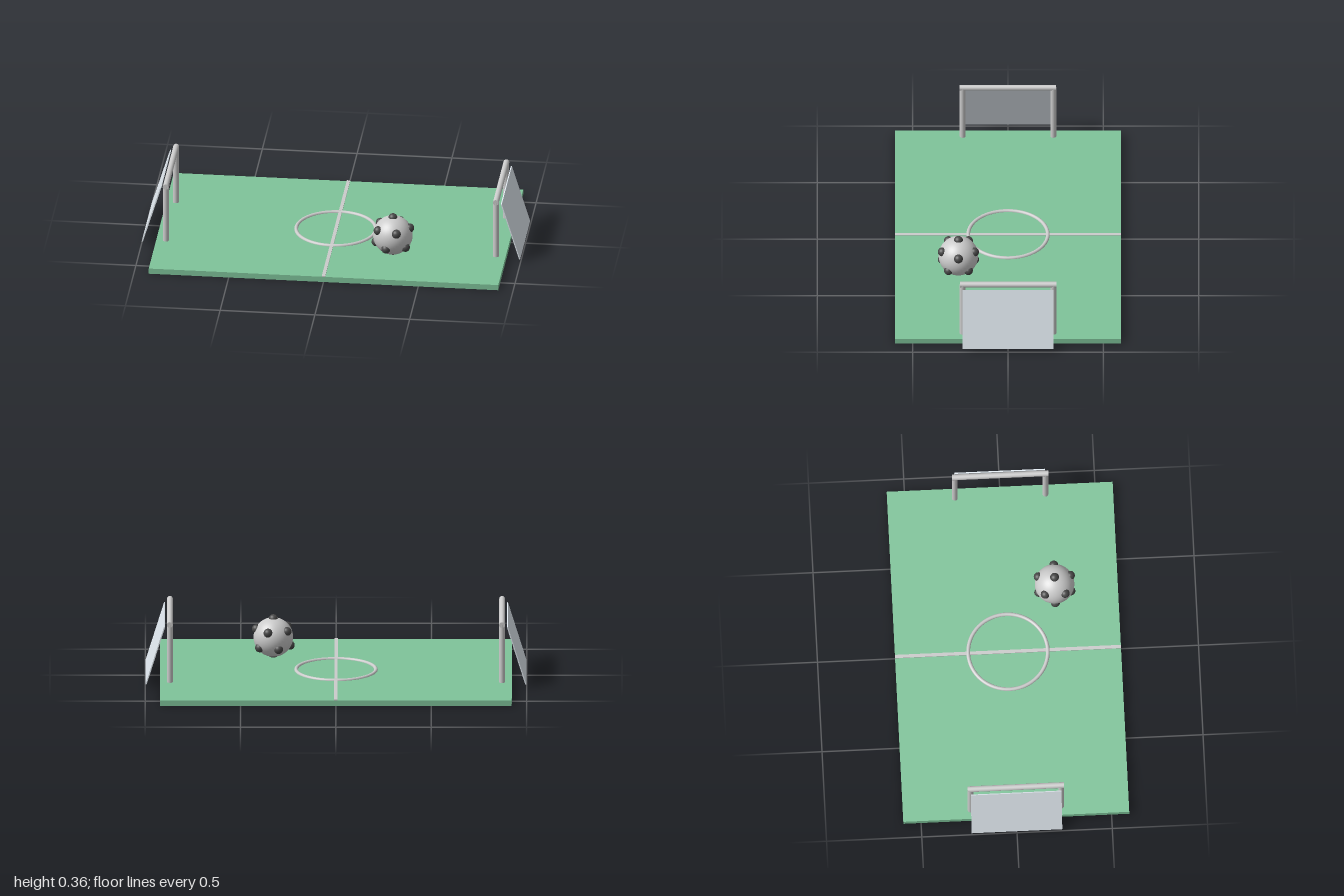
import * as THREE from 'three';

const grey = new THREE.MeshStandardMaterial({ color: 0xcccccc });
const green = new THREE.MeshStandardMaterial({ color: 0x7fc49a });
const dark = new THREE.MeshStandardMaterial({ color: 0x484848 });
const pale = new THREE.MeshStandardMaterial({ color: 0xdfe7ee });

function add(parent, name, geometry, material, x = 0, y = 0, z = 0) {
  const mesh = new THREE.Mesh(geometry, material);
  mesh.name = name;
  mesh.position.set(x, y, z);
  parent.add(mesh);
  return mesh;
}

// Two posts, a crossbar and a sloping net panel; side is +1 or -1
function makeGoal(side) {
  const goal = new THREE.Group();
  goal.name = side > 0 ? 'leftGoal' : 'rightGoal';
  const x = 0.871 * side, r = 0.0155;
  for (const z of [-0.238, 0.238]) {
    add(goal, 'post', new THREE.CylinderGeometry(r, r, 0.343, 24), grey, x, 0.1735, z);
  }
  const bar = add(goal, 'crossbar', new THREE.CylinderGeometry(r, r, 0.506, 24), grey, x, 0.345, 0);
  bar.rotation.x = Math.PI / 2;
  const net = add(goal, 'net', new THREE.BoxGeometry(0.006, 0.328, 0.476), pale, 0.947 * side, 0.174, 0);
  net.rotation.z = 0.3 * side;
  return goal;
}

// Ball with twelve studs placed at the corners of an icosahedron
function makeBall() {
  const ball = new THREE.Group();
  ball.name = 'ball';
  add(ball, 'ballBody', new THREE.SphereGeometry(0.104, 40, 28), grey);
  const directions = [[0, 1, 0], [0, -1, 0]];
  const h = 1 / Math.sqrt(5);
  for (let i = 0; i < 10; i++) {
    const a = i * Math.PI / 5;
    directions.push([2 * h * Math.cos(a), i % 2 ? -h : h, 2 * h * Math.sin(a)]);
  }
  const stud = new THREE.SphereGeometry(0.024, 20, 14);
  for (const d of directions) {
    add(ball, 'ballStud', stud, dark, ...d.map((v) => v * 0.099));
  }
  ball.position.set(0.329, 0.135, 0.26);
  return ball;
}

export function createModel() {
  const model = new THREE.Group();
  model.name = 'footballPitch';

  // Pitch and its raised markings
  add(model, 'pitch', new THREE.BoxGeometry(1.844, 0.03, 1.186), green, 0, 0.015, 0);
  add(model, 'halfwayLine', new THREE.BoxGeometry(0.018, 0.01, 1.186), grey, 0, 0.03, 0);
  const circle = add(model, 'centreCircle', new THREE.TorusGeometry(0.209, 0.01, 12, 64), grey, 0, 0.03, 0);
  circle.rotation.x = Math.PI / 2;

  for (const side of [-1, 1]) model.add(makeGoal(side));
  model.add(makeBall());
  return model;
}
